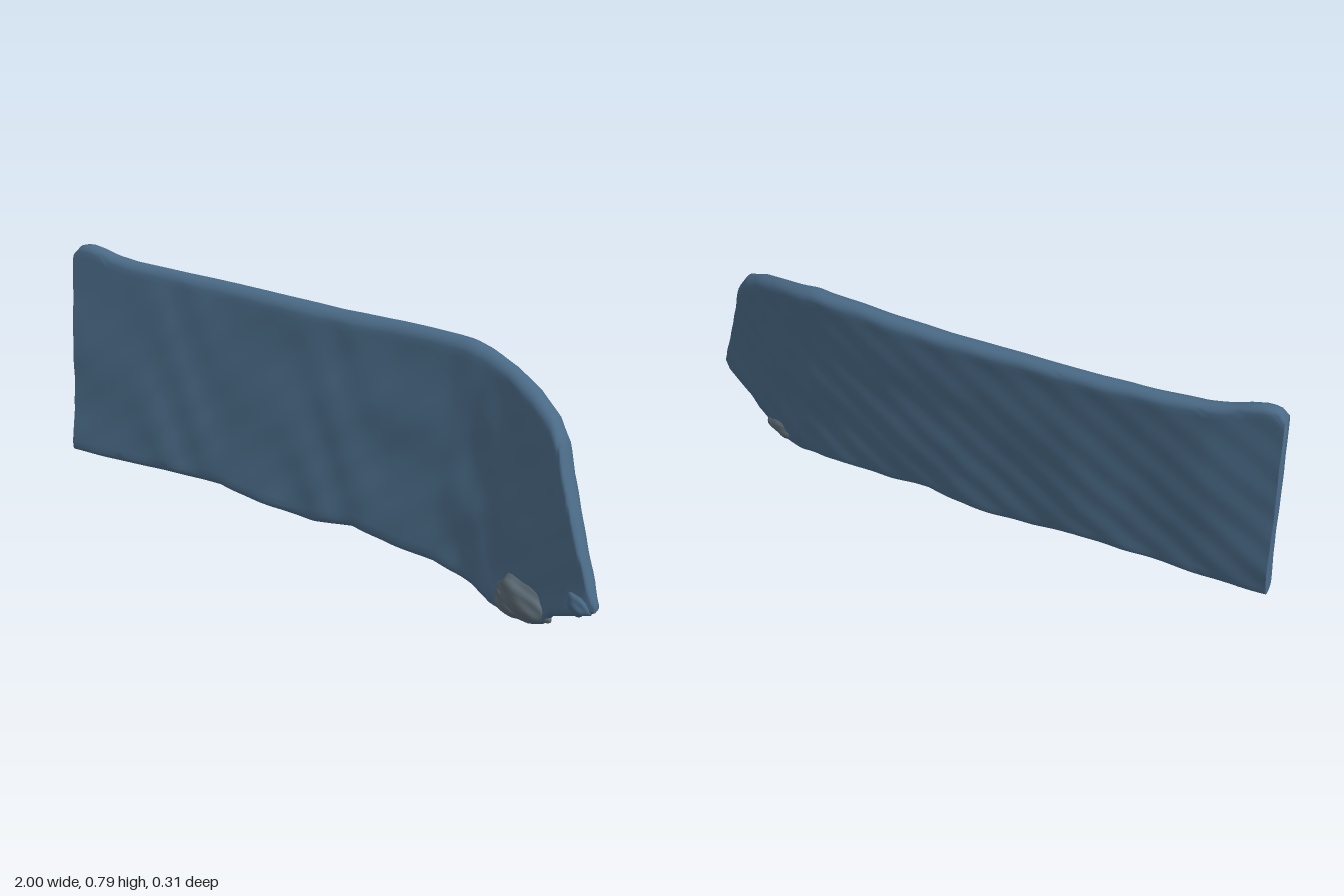
import * as THREE from 'three';
import { toCreasedNormals } from 'three/addons/utils/BufferGeometryUtils.js';

// [x, height] along the upper and lower edges
const TOP = [[-1, 0.77], [-0.985, 0.79], [-0.95, 0.8], [-0.9, 0.79], [-0.85, 0.775], [-0.78, 0.765], [-0.6, 0.76],
  [0, 0.755], [0.3, 0.765], [0.45, 0.765], [0.5, 0.755], [0.6, 0.73], [0.7, 0.695], [0.78, 0.65], [0.82, 0.6],
  [0.85, 0.52], [0.9, 0.41], [0.94, 0.32], [0.97, 0.25], [0.99, 0.205], [1, 0.185]];
const BOTTOM = [[-1, 0.07], [-0.8, 0.075], [-0.6, 0.085], [-0.4, 0.09], [-0.25, 0.07], [-0.05, 0.06], [0.1, 0.085],
  [0.25, 0.065], [0.4, 0.06], [0.55, 0.035], [0.62, 0.012], [0.7, 0.01], [0.78, 0.025], [0.83, 0.05],
  [0.86, 0.09], [0.92, 0.12], [0.97, 0.145], [1, 0.165]];
// [x, z of the back face at the top, lean towards the front at the foot, thickness]
const BODY = [[-1, -0.045, 0.06, 0.045], [-0.8, -0.085, 0.08, 0.055], [-0.6, -0.11, 0.09, 0.058], [-0.4, -0.13, 0.09, 0.064],
  [0, -0.15, 0.09, 0.069], [0.2, -0.155, 0.09, 0.068], [0.4, -0.15, 0.09, 0.065], [0.5, -0.14, 0.088, 0.064],
  [0.6, -0.12, 0.085, 0.066], [0.7, -0.087, 0.085, 0.07], [0.8, -0.046, 0.08, 0.074], [0.9, -0.01, 0.08, 0.072],
  [0.97, 0.02, 0.08, 0.058], [1, 0.045, 0.08, 0.03]];

// Linear lookup of column k in a table keyed by x
function at(table, x, k = 1) {
  let i = 1;
  while (i < table.length - 1 && table[i][0] < x) i++;
  const a = table[i - 1], b = table[i];
  return THREE.MathUtils.lerp(a[k], b[k], (x - a[0]) / (b[0] - a[0]));
}

// Shallow diagonal wrinkles of the worn surface
function wrinkle(x, y, phase) {
  const low = 1.3 - y;
  return low * (0.0028 * Math.sin(9 * x - 13 * y + phase + 2 * Math.sin(5 * y + 3 * x))
    + 0.0022 * Math.sin(21 * x + 17 * y + 2 * phase + 1.5 * Math.sin(11 * x))
    + 0.0014 * Math.sin(37 * x - 45 * y + phase));
}

// One closed cross-section: up the front, over the top, down the back, round the foot
function section(x, rows = 34, arc = 8) {
  const y0 = at(BOTTOM, x), y1 = at(TOP, x);
  const zBack = at(BODY, x, 1), lean = at(BODY, x, 2), t = at(BODY, x, 3);
  const r = Math.min(t * 0.45, (y1 - y0) * 0.45), ring = [];
  const add = (y, side) => {
    const z = zBack + lean * (0.76 - y) / 0.7 + t * (0.5 + side / 2);
    ring.push([x, y, z + side * wrinkle(x, y, side > 0 ? 0 : 2.5)]);
  };
  for (let j = 0; j <= rows; j++) add(y0 + r + (y1 - y0 - 2 * r) * j / rows, 1);
  for (let j = 1; j < arc; j++) {
    const a = Math.PI * j / arc;
    add(y1 - r + r * Math.sin(a), Math.cos(a));
  }
  for (let j = rows; j >= 0; j--) add(y0 + r + (y1 - y0 - 2 * r) * j / rows, -1);
  for (let j = 1; j < arc; j++) {
    const a = Math.PI * j / arc;
    add(y0 + r - r * Math.sin(a), -Math.cos(a));
  }
  return ring;
}

function slabGeometry() {
  const xs = [];
  for (let i = 0; i <= 90; i++) xs.push(-1 + 0.02 * i);
  for (let i = 1; i <= 20; i++) xs.push(0.8 + 0.01 * i);
  const rings = xs.map((x) => section(Math.min(x, 1)));
  const n = rings[0].length, pos = rings.flat(2), index = [];
  for (let i = 0; i < rings.length - 1; i++) {
    for (let j = 0; j < n; j++) {
      const a = i * n + j, c = i * n + (j + 1) % n;
      index.push(a, a + n, c, c, a + n, c + n);
    }
  }
  // End faces
  [0, rings.length - 1].forEach((i) => {
    const centre = pos.length / 3;
    const sum = [0, 1, 2].map((k) => rings[i].reduce((s, p) => s + p[k], 0) / n);
    pos.push(...sum);
    for (let j = 0; j < n; j++) {
      const a = i * n + j, b = i * n + (j + 1) % n;
      if (i === 0) index.push(centre, a, b);
      else index.push(centre, b, a);
    }
  });
  const geo = new THREE.BufferGeometry();
  geo.setAttribute('position', new THREE.Float32BufferAttribute(pos, 3));
  geo.setIndex(index);
  return toCreasedNormals(geo, 0.8);
}

// Rounded lump with an uneven skin
function lump(name, material, [x, y, z], [sx, sy, sz], turn) {
  const geo = new THREE.SphereGeometry(1, 32, 20);
  const p = geo.attributes.position, v = new THREE.Vector3();
  for (let i = 0; i < p.count; i++) {
    v.fromBufferAttribute(p, i);
    v.multiplyScalar(1 + 0.07 * Math.sin(4 * v.x + 5 * v.y) + 0.05 * Math.sin(7 * v.z - 6 * v.y));
    p.setXYZ(i, v.x, v.y, v.z);
  }
  geo.computeVertexNormals();
  const mesh = new THREE.Mesh(geo, material);
  mesh.name = name;
  mesh.position.set(x, y, z);
  mesh.scale.set(sx, sy, sz);
  mesh.rotation.y = turn;
  return mesh;
}

export function createModel() {
  const group = new THREE.Group();
  group.name = 'curvedSlab';
  const blue = new THREE.MeshStandardMaterial({ color: 0x4a6a86 });
  const grey = new THREE.MeshStandardMaterial({ color: 0x5c6a74 });

  const slab = new THREE.Mesh(slabGeometry(), blue);
  slab.name = 'slab';
  group.add(slab);

  // Worn corner at the foot of the bent end
  group.add(lump('wornCorner', grey, [0.75, 0.095, 0.065], [0.11, 0.06, 0.048], -0.4));
  group.add(lump('cornerLedge', grey, [0.71, 0.06, 0.04], [0.08, 0.045, 0.05], -0.35));
  group.add(lump('cornerTip', blue, [0.945, 0.175, 0.115], [0.048, 0.04, 0.034], -0.5));
  return group;
}
